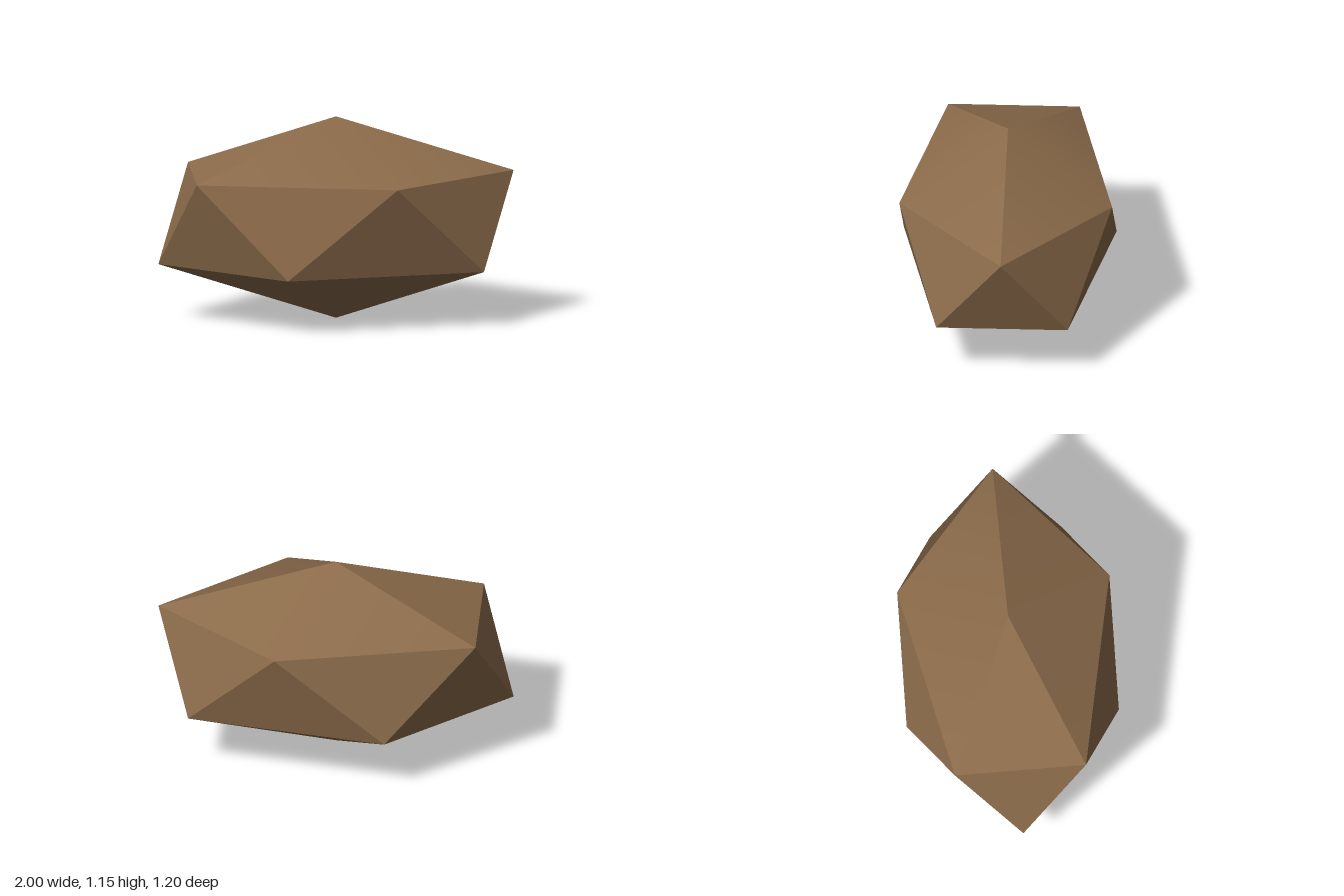
import * as THREE from 'three';
import { toCreasedNormals } from 'three/addons/utils/BufferGeometryUtils.js';

const SIDES = 5;
const RADIUS_X = 1;
const RADIUS_Z = 0.629;
const HEIGHT = 1.15;
const LOWER_Y = 0.318;
const UPPER_Y = HEIGHT - LOWER_Y;

// Point k of a five-sided ring; half shifts it by half a step
function ringPoint(k, half, y) {
  const a = ((k + half) / SIDES) * Math.PI * 2;
  return [RADIUS_X * Math.cos(a), y, RADIUS_Z * Math.sin(a)];
}

// Twenty-faced stone: a cap, a belt of alternating triangles, and a point below
function stoneGeometry() {
  const top = [0, HEIGHT, 0];
  const bottom = [0, 0, 0];
  const positions = [];
  const face = (...corners) => corners.forEach((c) => positions.push(...c));

  for (let k = 0; k < SIDES; k++) {
    const u0 = ringPoint(k, 0, UPPER_Y);
    const u1 = ringPoint(k + 1, 0, UPPER_Y);
    const l0 = ringPoint(k, 0.5, LOWER_Y);
    const l1 = ringPoint(k + 1, 0.5, LOWER_Y);
    face(top, u1, u0);
    face(u0, u1, l0);
    face(u1, l1, l0);
    face(bottom, l0, l1);
  }

  const geometry = new THREE.BufferGeometry();
  geometry.setAttribute('position', new THREE.Float32BufferAttribute(positions, 3));
  // Soften only the shallow edges, keep the rest faceted
  return toCreasedNormals(geometry, THREE.MathUtils.degToRad(30));
}

export function createModel() {
  const brown = new THREE.MeshStandardMaterial({ color: 0x8b6b4a });
  brown.name = 'earth brown';

  const stone = new THREE.Mesh(stoneGeometry(), brown);
  stone.name = 'stone';

  const group = new THREE.Group();
  group.name = 'facetedStone';
  group.add(stone);
  return group;
}
